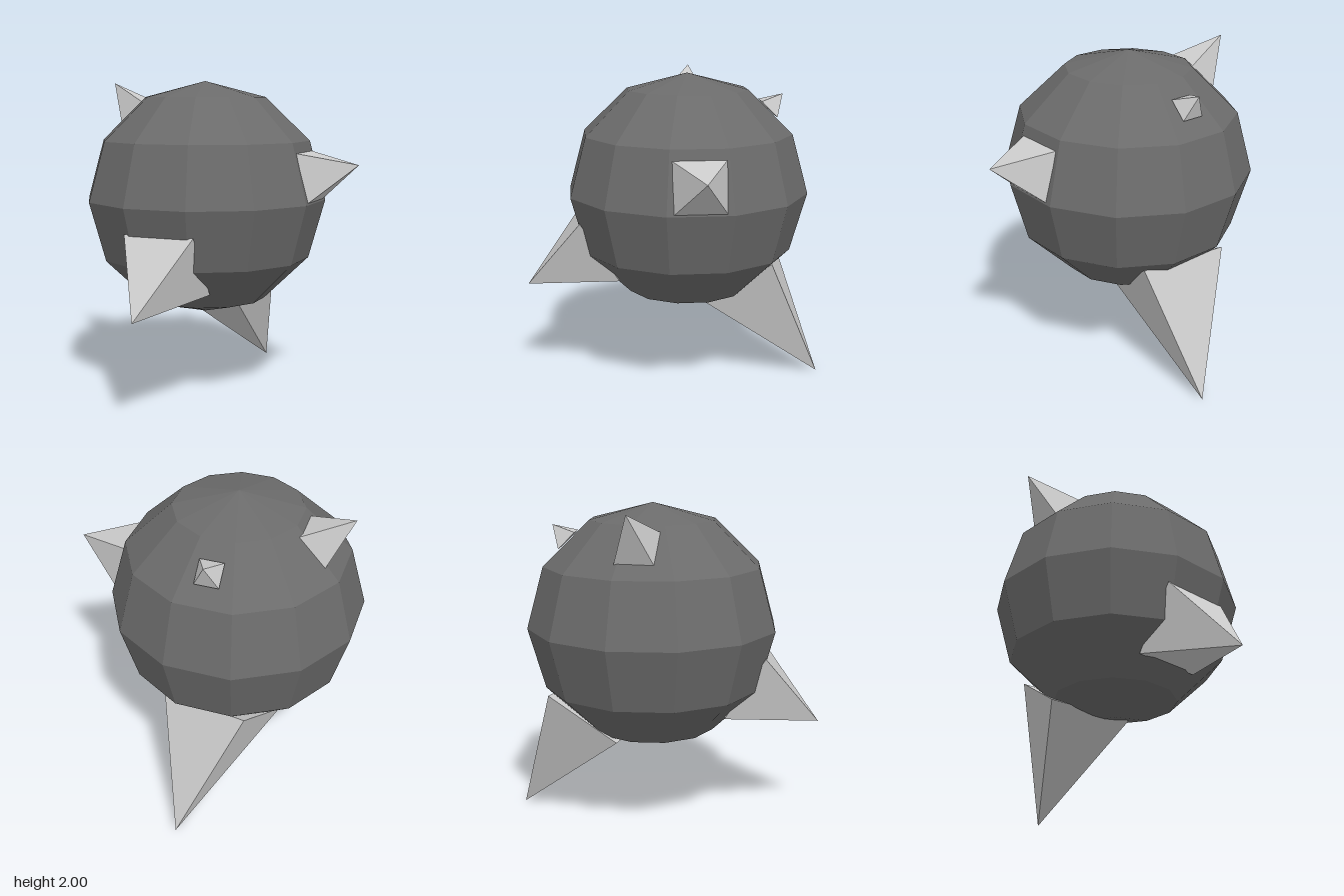
import * as THREE from 'three';

const bodyGrey = new THREE.MeshStandardMaterial({ color: 0x6b6b6b });
bodyGrey.name = 'dark grey';
const spikeGrey = new THREE.MeshStandardMaterial({ color: 0xcccccc });
spikeGrey.name = 'light grey';

// Four-sided pyramid: tip, base centre and the two half-side vectors of the base
function spike(name, tip, centre, halfU, halfV) {
  const t = new THREE.Vector3(...tip);
  const c = new THREE.Vector3(...centre);
  const u = new THREE.Vector3(...halfU);
  const v = new THREE.Vector3(...halfV);
  // keep the base counter-clockwise as seen from the tip
  if (u.clone().cross(v).dot(t.clone().sub(c)) < 0) u.negate();
  const corners = [[-1, -1], [1, -1], [1, 1], [-1, 1]].map(([a, b]) =>
    c.clone().addScaledVector(u, a).addScaledVector(v, b));
  const points = [];
  for (let i = 0; i < 4; i++) points.push(corners[i], corners[(i + 1) % 4], t);
  points.push(corners[0], corners[2], corners[1], corners[0], corners[3], corners[2]);
  const geometry = new THREE.BufferGeometry().setFromPoints(points);
  geometry.computeVertexNormals();
  const mesh = new THREE.Mesh(geometry, spikeGrey);
  mesh.name = name;
  return mesh;
}

export function createModel() {
  const model = new THREE.Group();
  model.name = 'spikedBall';

  // Faceted ball with flat sides facing the four directions
  const ball = new THREE.SphereGeometry(0.75, 12, 6).toNonIndexed();
  ball.rotateY(Math.PI / 12);
  ball.scale(1.035, 1, 1.035);
  ball.computeVertexNormals();
  const body = new THREE.Mesh(ball, bodyGrey);
  body.name = 'ball';
  body.position.set(-0.135, 1.25, -0.085);
  model.add(body);

  // Spikes of different sizes
  model.add(
    spike('frontSpike', [-0.135, 0.64, 0.955], [-0.135, 0.9, 0.49], [0.226, 0, 0], [0, 0.19, 0.122]),
    spike('leftSpike', [0.882, 1.49, -0.085], [0.57, 1.408, -0.085], [0, 0, 0.16], [-0.035, 0.153, 0]),
    spike('rightSpike', [-0.837, 1.99, -0.17], [-0.61, 1.77, -0.13], [-0.007, 0.006, 0.118], [0.088, 0.083, 0.014]),
    spike('backSpike', [-0.135, 1.862, -0.7], [-0.135, 1.77, -0.605], [0.073, 0, 0], [0, 0.051, 0.051]),
    spike('bottomSpike', [-0.02, 0, -0.957], [-0.16, 0.695, -0.44], [-0.27, 0.015, -0.055], [0.05, 0.13, -0.215]),
  );
  return model;
}
